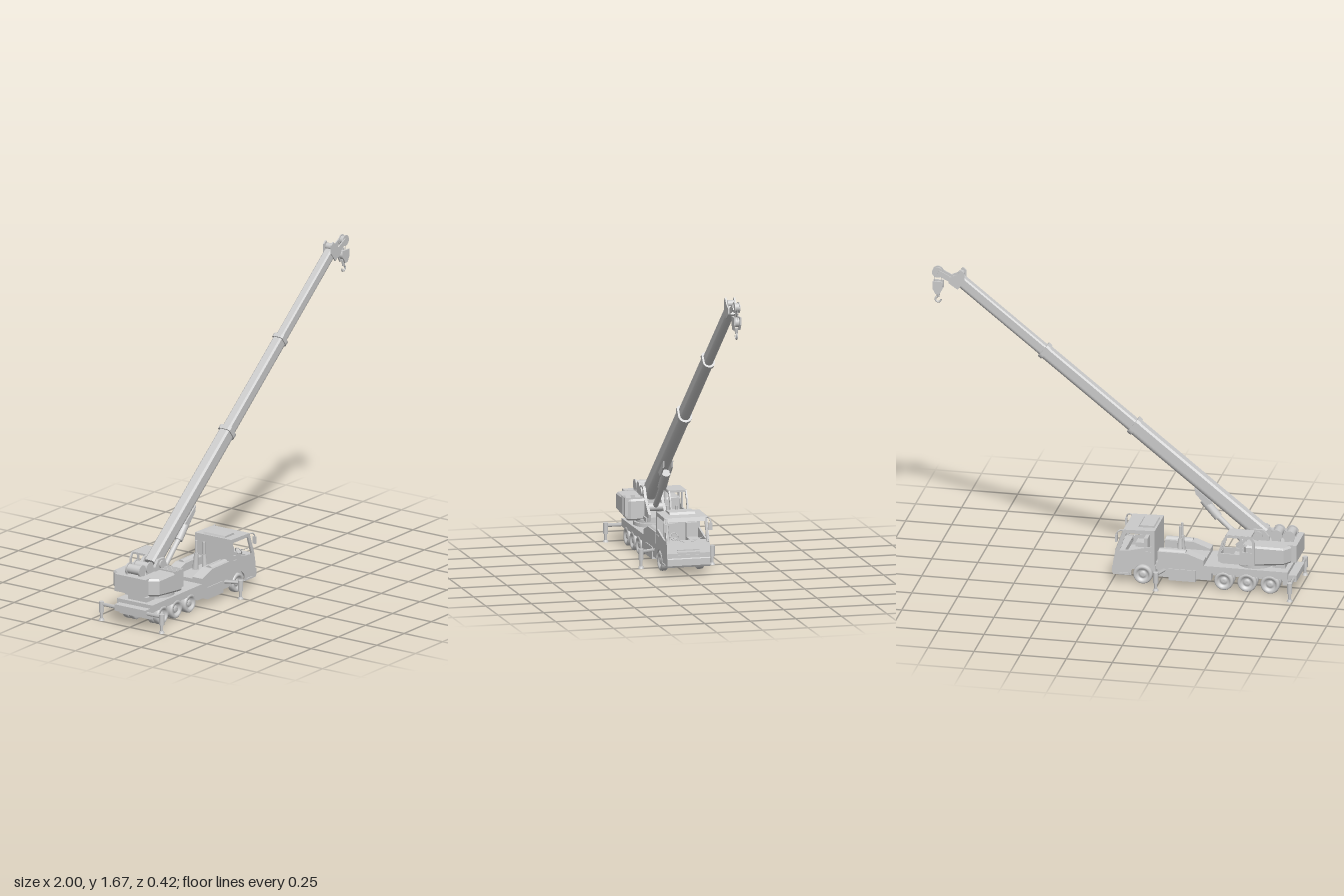
import * as THREE from 'three';

const mat = new THREE.MeshStandardMaterial({ color: 0xcccccc, side: THREE.DoubleSide });
const V = (x, y, z) => new THREE.Vector3(x, y, z);

export function createModel() {
  const root = new THREE.Group();
  root.name = 'mobileCrane';
  const group = (name, parent = root) => {
    const g = new THREE.Group();
    g.name = name;
    parent.add(g);
    return g;
  };
  const add = (p, name, geo, x = 0, y = 0, z = 0) => {
    const m = new THREE.Mesh(geo, mat);
    m.name = name;
    m.position.set(x, y, z);
    p.add(m);
    return m;
  };
  // box from its limits
  const box = (p, name, x0, x1, y0, y1, z0, z1) => add(p, name,
    new THREE.BoxGeometry(x1 - x0, y1 - y0, Math.abs(z1 - z0)), (x0 + x1) / 2, (y0 + y1) / 2, (z0 + z1) / 2);
  const shapeOf = pts => new THREE.Shape(pts.map(([x, y]) => new THREE.Vector2(x, y)));
  // side profile extruded between two z values
  const profile = (p, name, pts, za, zb, holes = []) => {
    const s = pts instanceof THREE.Shape ? pts : shapeOf(pts);
    holes.forEach(h => s.holes.push(shapeOf(h)));
    const geo = new THREE.ExtrudeGeometry(s, { depth: Math.abs(zb - za), bevelEnabled: false, curveSegments: 10 });
    return add(p, name, geo, 0, 0, Math.min(za, zb));
  };
  // round bar between two points
  const rod = (p, name, a, b, r0, r1 = r0, seg = 14) => {
    const d = b.clone().sub(a);
    const m = add(p, name, new THREE.CylinderGeometry(r1, r0, d.length(), seg));
    m.position.copy(a).add(b).multiplyScalar(0.5);
    m.quaternion.setFromUnitVectors(V(0, 1, 0), d.normalize());
    return m;
  };
  const drum = (p, name, x, y, z, r, w) => rod(p, name, V(x, y, z - w / 2), V(x, y, z + w / 2), r, r, 24);

  // ---- chassis ----
  const chassis = group('chassis');
  box(chassis, 'deck', -0.955, -0.24, 0.09, 0.13, -0.115, 0.115);
  box(chassis, 'tailFrame', -0.955, -0.925, 0.05, 0.09, -0.1, 0.1);
  for (const s of [1, -1]) {
    box(chassis, 'frameRail', -0.95, -0.04, 0.055, 0.09, s * 0.03, s * 0.05);
    box(chassis, 'sidePanel', -0.54, -0.25, 0.05, 0.09, s * 0.07, s * 0.115);
    box(chassis, 'fuelTank', -0.455, -0.31, 0.035, 0.1, s * 0.075, s * 0.12);
    profile(chassis, 'deckLocker', [[-0.5, 0.13], [-0.5, 0.16], [-0.41, 0.192], [-0.25, 0.192], [-0.25, 0.13]], s * 0.055, s * 0.118);
    rod(chassis, 'airTank', V(-0.4, 0.18, s * 0.09), V(-0.255, 0.18, s * 0.09), 0.023);
    rod(chassis, 'boomRestPost', V(-0.353, 0.13, s * 0.032), V(-0.353, 0.24, s * 0.025), 0.018, 0.011);
    rod(chassis, 'boomRestTip', V(-0.353, 0.24, s * 0.025), V(-0.353, 0.31, s * 0.025), 0.007);
  }
  box(chassis, 'centreLocker', -0.5, -0.25, 0.13, 0.15, -0.055, 0.055);
  for (const x of [-0.858, -0.733, -0.607, -0.168])
    rod(chassis, 'axle', V(x, 0.052, -0.1), V(x, 0.052, 0.1), 0.012);

  // ---- wheels: revolved tyre with dished rim ----
  const tyre = new THREE.LatheGeometry([[0.001, 0.012], [0.014, 0.014], [0.016, 0.006], [0.028, 0.004], [0.032, 0.017],
    [0.044, 0.019], [0.05, 0.014], [0.052, 0.006], [0.052, -0.012], [0.046, -0.019], [0.03, -0.018], [0.001, -0.012]]
    .map(([r, y]) => new THREE.Vector2(r, y)), 28);
  for (const s of [1, -1]) for (const x of [-0.858, -0.733, -0.607, -0.168]) {
    add(chassis, 'wheel', tyre, x, 0.052, s * 0.1).rotation.x = s * Math.PI / 2;
    if (x < -0.5) add(chassis, 'innerWheel', tyre, x, 0.052, s * 0.062).rotation.x = s * Math.PI / 2;
  }

  // ---- outriggers ----
  const outriggers = group('outriggers');
  box(outriggers, 'rearBeamBox', -1, -0.955, 0.075, 0.11, -0.1, 0.1);
  for (const s of [1, -1]) for (const [x, ax] of [[-0.983, -0.983], [-0.257, -0.3]]) {
    rod(outriggers, 'outriggerArm', V(ax, 0.09, s * 0.08), V(x, 0.09, s * 0.19), 0.01, 0.01, 4);
    rod(outriggers, 'jackSleeve', V(x, 0.045, s * 0.195), V(x, 0.104, s * 0.195), 0.014);
    rod(outriggers, 'jackRod', V(x, 0.008, s * 0.195), V(x, 0.045, s * 0.195), 0.008);
    rod(outriggers, 'jackFoot', V(x, 0, s * 0.195), V(x, 0.012, s * 0.195), 0.016, 0.011);
  }

  // ---- driver cab: side walls with window and wheel arch ----
  const cab = group('driverCab');
  const W = 0.118;
  for (const s of [1, -1]) {
    const side = shapeOf([[-0.235, 0.11], [-0.235, 0.305], [-0.065, 0.3], [-0.022, 0.18], [-0.01, 0.12], [-0.012, 0.045], [-0.108, 0.045]]);
    side.absarc(-0.168, 0.052, 0.062, 0, Math.PI * 0.9, false);
    profile(cab, 'cabSide', side, s * W, s * (W - 0.01),
      [[[-0.218, 0.215], [-0.218, 0.285], [-0.08, 0.283], [-0.045, 0.182], [-0.1, 0.186]]]);
    box(cab, 'doorHandle', -0.215, -0.185, 0.18, 0.187, s * W, s * (W + 0.005));
    box(cab, 'step', -0.1, -0.045, 0.05, 0.058, s * W, s * (W + 0.006));
    box(cab, 'headlight', -0.014, -0.003, 0.068, 0.09, s * 0.07, s * 0.108);
    box(cab, 'seatBase', -0.17, -0.1, 0.13, 0.175, s * 0.03, s * 0.09);
    box(cab, 'seatBack', -0.19, -0.17, 0.15, 0.25, s * 0.03, s * 0.09);
    add(cab, 'mirrorArm', new THREE.TubeGeometry(new THREE.CatmullRomCurve3([V(-0.07, 0.295, s * 0.112),
      V(-0.045, 0.298, s * 0.122), V(-0.03, 0.28, s * 0.126), V(-0.028, 0.25, s * 0.126)]), 12, 0.004, 6));
    box(cab, 'mirror', -0.034, -0.024, 0.235, 0.275, s * 0.115, s * 0.133);
    box(cab, 'mudguard', -0.24, -0.228, 0.05, 0.11, s * 0.075, s * W);
    rod(cab, 'windscreenPillar', V(-0.068, 0.297, s * 0.108), V(-0.024, 0.175, s * 0.108), 0.008, 0.008, 6);
    rod(cab, 'wiper', V(-0.02, 0.178, s * 0.02), V(-0.029, 0.2, s * 0.08), 0.002, 0.002, 5);
  }
  profile(cab, 'roof', [[-0.235, 0.295], [-0.235, 0.307], [-0.065, 0.302], [-0.058, 0.28], [-0.07, 0.28], [-0.075, 0.291]], -W, W);
  profile(cab, 'roofHatch', [[-0.225, 0.304], [-0.22, 0.316], [-0.145, 0.316], [-0.135, 0.304]], -0.07, 0.07);
  box(cab, 'backWall', -0.235, -0.225, 0.11, 0.3, -W, W);
  profile(cab, 'frontPanel', [[-0.035, 0.18], [-0.022, 0.18], [-0.01, 0.12], [-0.01, 0.07], [-0.03, 0.07]], -W, W);
  profile(cab, 'bumper', [[-0.06, 0.045], [-0.01, 0.045], [-0.004, 0.055], [-0.004, 0.09], [-0.012, 0.096], [-0.06, 0.096]], -W, W);
  box(cab, 'cabFloor', -0.23, -0.03, 0.115, 0.13, -0.11, 0.11);
  box(cab, 'dashboard', -0.07, -0.03, 0.15, 0.18, -0.108, 0.108);
  for (let i = 0; i < 3; i++) box(cab, 'grilleBar', -0.014, -0.005 - i * 0.002, 0.106 + i * 0.014, 0.112 + i * 0.014, -0.06, 0.06);
  const steering = add(cab, 'steeringWheel', new THREE.TorusGeometry(0.02, 0.003, 6, 20), -0.085, 0.198, 0.06);
  steering.rotation.set(0, Math.PI / 2, 0.5, 'ZYX');

  // ---- slewing upper body ----
  const upper = group('upperBody');
  rod(upper, 'turntable', V(-0.76, 0.128, 0), V(-0.76, 0.15, 0), 0.1, 0.1, 32);
  rod(upper, 'slewRing', V(-0.76, 0.15, 0), V(-0.76, 0.168, 0), 0.085, 0.085, 32);
  box(upper, 'rearDeckBox', -0.93, -0.86, 0.13, 0.155, -0.06, 0.06);
  box(upper, 'floorPlate', -0.96, -0.66, 0.163, 0.185, -0.06, 0.06);
  box(upper, 'counterweight', -1, -0.95, 0.185, 0.28, -0.1, 0.1);
  box(upper, 'winchBed', -0.96, -0.83, 0.18, 0.265, -0.06, 0.06);
  for (const s of [1, -1]) {
    // machinery housings, chamfered in plan and tucked in below
    const plan = shapeOf([[-0.965, 0.045], [-0.965, 0.1], [-0.935, 0.142], [-0.74, 0.142], [-0.725, 0.125], [-0.725, 0.045]]);
    const geo = new THREE.ExtrudeGeometry(plan, { depth: 0.095, bevelThickness: 0.01, bevelSize: 0.008, bevelSegments: 1 });
    geo.rotateX(-Math.PI / 2);
    const pos = geo.attributes.position;
    for (let i = 0; i < pos.count; i++) {
      if (pos.getY(i) < 0.02 && pos.getX(i) < -0.9) pos.setY(i, pos.getY(i) + 0.02);
      if (s > 0) pos.setZ(i, pos.getZ(i));
    }
    geo.computeVertexNormals();
    const h = add(upper, 'machineryHousing', geo, 0, 0.172, 0);
    h.scale.z = -s;
    // boom foot cheeks
    profile(upper, 'boomFootPlate', [[-0.84, 0.165], [-0.84, 0.3], [-0.81, 0.335], [-0.755, 0.335], [-0.725, 0.28],
      [-0.64, 0.205], [-0.65, 0.165]], s * 0.037, s * 0.052);
    drum(upper, 'pivotBoss', -0.783, 0.305, s * 0.05, 0.022, 0.02);
  }
  for (let i = 0; i < 6; i++) {
    const x = -0.8 + i * 0.013;
    box(upper, 'louvre', x, x + 0.007, 0.185, 0.285, 0.055, 0.157);
  }
  for (const x of [-0.948, -0.878]) {
    drum(upper, 'winchDrum', x, 0.307, 0, 0.026, 0.08);
    for (const s of [1, -1]) {
      drum(upper, 'winchFlange', x, 0.307, s * 0.042, 0.032, 0.008);
      box(upper, 'winchBracket', x - 0.024, x + 0.024, 0.26, 0.305, s * 0.036, s * 0.046);
    }
  }

  // ---- operator cab ----
  const op = group('operatorCab');
  const opPts = [[-0.785, 0.17], [-0.785, 0.3], [-0.765, 0.332], [-0.63, 0.332], [-0.605, 0.29], [-0.583, 0.215], [-0.59, 0.18], [-0.61, 0.17]];
  const opHoles = () => [[[-0.77, 0.24], [-0.77, 0.3], [-0.76, 0.318], [-0.715, 0.318], [-0.715, 0.24]],
    [[-0.702, 0.225], [-0.702, 0.318], [-0.637, 0.318], [-0.617, 0.285], [-0.6, 0.225]]];
  for (const z of [-0.155, -0.063]) profile(op, 'operatorCabSide', opPts, z, z + 0.008, opHoles());
  box(op, 'operatorCabRoof', -0.765, -0.63, 0.322, 0.333, -0.153, -0.056);
  box(op, 'operatorCabFloor', -0.785, -0.6, 0.17, 0.18, -0.153, -0.056);
  box(op, 'operatorCabBack', -0.785, -0.777, 0.17, 0.24, -0.153, -0.056);
  box(op, 'operatorCabFront', -0.595, -0.586, 0.178, 0.218, -0.153, -0.056);
  box(op, 'operatorSeat', -0.72, -0.665, 0.18, 0.215, -0.135, -0.08);
  box(op, 'operatorSeatBack', -0.732, -0.717, 0.2, 0.275, -0.135, -0.08);

  // ---- telescopic boom, built along its own x axis ----
  const boom = group('boom');
  boom.position.set(-0.783, 0.307, 0);
  boom.rotation.z = 0.672;
  const section = (name, s0, s1, h, w) => {
    const a = w / 2, b = h / 2, c = w * 0.16;
    const sh = new THREE.Shape();
    sh.moveTo(-a, b - c);
    sh.lineTo(-a + c, b);
    sh.lineTo(a - c, b);
    sh.lineTo(a, b - c);
    sh.lineTo(a, -b + a);
    sh.absarc(0, -b + a, a, 0, -Math.PI, true);
    const geo = new THREE.ExtrudeGeometry(sh, { depth: s1 - s0, bevelEnabled: false, curveSegments: 10 });
    add(boom, name, geo.rotateY(Math.PI / 2), s0);
  };
  section('baseSection', -0.02, 0.873, 0.09, 0.062);
  section('baseCollar', 0.86, 0.885, 0.102, 0.076);
  section('middleSection', 0.87, 1.495, 0.077, 0.054);
  section('middleCollar', 1.483, 1.506, 0.09, 0.066);
  section('topSection', 1.49, 2.1, 0.066, 0.046);
  section('topCollar', 2.085, 2.103, 0.076, 0.054);
  for (const s of [1, -1]) {
    profile(boom, 'headCheek', [[2.06, -0.04], [2.06, 0.02], [2.09, 0.058], [2.115, 0.058], [2.115, 0.02], [2.135, -0.02], [2.12, -0.045]], s * 0.02, s * 0.028);
    profile(boom, 'cylinderLug', [[0.29, -0.04], [0.42, -0.04], [0.39, -0.065], [0.31, -0.075]], s * 0.02, s * 0.028);
  }
  drum(boom, 'upperSheave', 2.1, 0.03, 0, 0.018, 0.036);

  // ---- luffing cylinder under the boom ----
  const luff = group('luffingCylinder');
  rod(luff, 'cylinderRod', V(-0.7, 0.235, 0), V(-0.54, 0.385, 0), 0.015);
  rod(luff, 'cylinderBarrel', V(-0.555, 0.37, 0), V(-0.475, 0.462, 0), 0.024);
  drum(luff, 'lowerPin', -0.7, 0.235, 0, 0.022, 0.08);

  // ---- jib head and hook block ----
  const head = group('jibHead');
  for (const s of [1, -1]) {
    profile(head, 'jibArm', [[0.865, 1.585], [0.875, 1.615], [0.955, 1.655], [0.972, 1.63], [0.91, 1.6]], s * 0.014, s * 0.02);
    drum(head, 'sheaveFlange', 0.967, 1.641, s * 0.012, 0.029, 0.005);
  }
  drum(head, 'sheave', 0.967, 1.641, 0, 0.023, 0.026);
  const hook = group('hookBlock');
  for (const s of [1, -1]) {
    profile(hook, 'blockCheek', [[0.938, 1.59], [0.992, 1.59], [0.992, 1.55], [0.976, 1.52], [0.954, 1.52], [0.938, 1.55]], s * 0.012, s * 0.02);
    rod(hook, 'hoistRope', V(0.967 + s * 0.018, 1.57, 0), V(0.967 + s * 0.018, 1.64, 0), 0.0015, 0.0015, 5);
  }
  drum(hook, 'blockSheave', 0.965, 1.56, 0, 0.025, 0.022);
  rod(hook, 'hookShank', V(0.965, 1.498, 0), V(0.965, 1.53, 0), 0.007, 0.012);
  add(hook, 'hook', new THREE.TorusGeometry(0.015, 0.005, 8, 20, Math.PI * 1.5), 0.965, 1.485, 0).rotation.z = -Math.PI;
  return root;
}
